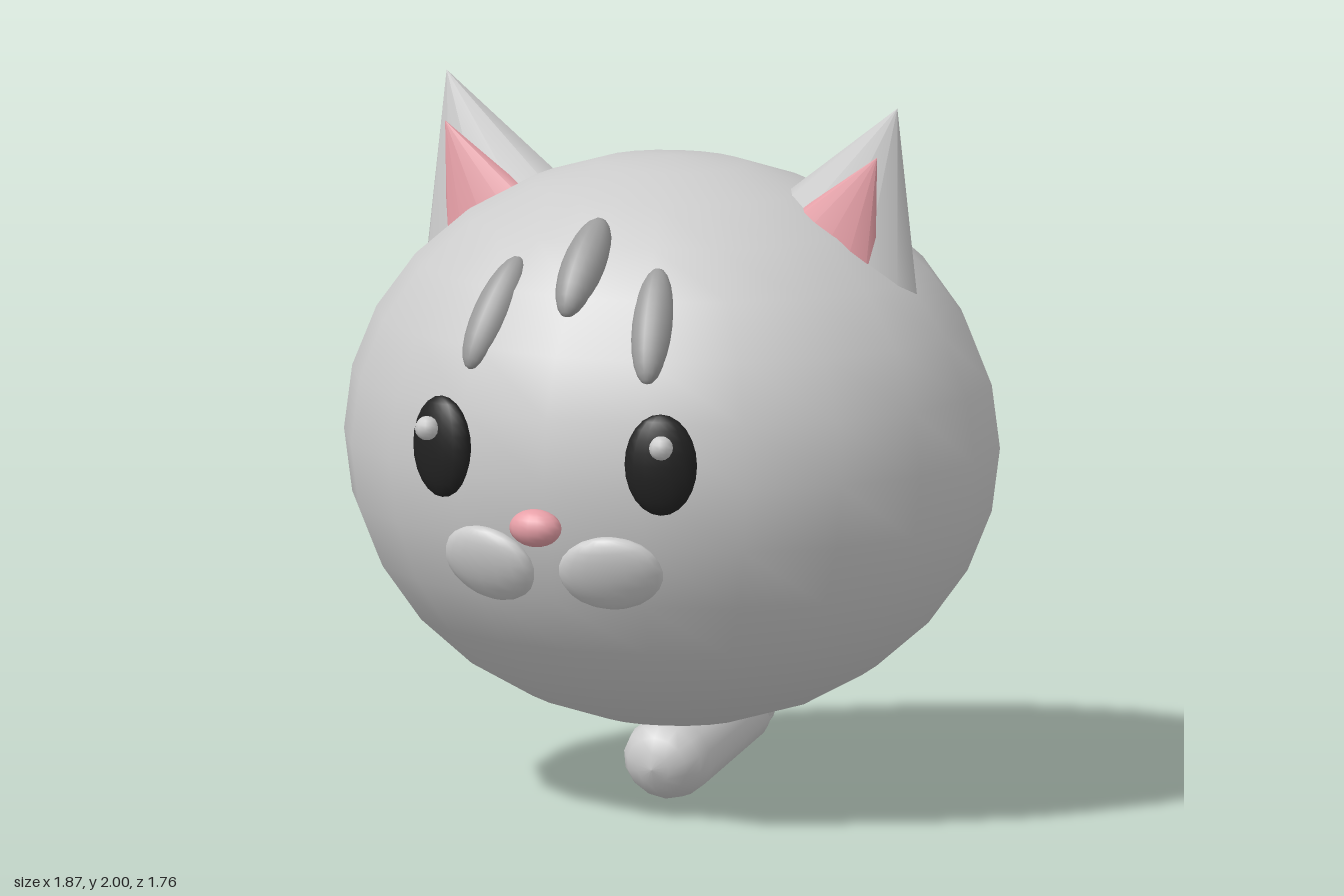
import * as THREE from 'three';

const mat = (name, color) => {
  const m = new THREE.MeshStandardMaterial({ color });
  m.name = name;
  return m;
};

export function createModel() {
  const model = new THREE.Group();
  model.name = 'roundCat';
  const fur = mat('light grey fur', 0xcccccc);
  const dark = mat('stripe grey', 0x9c9c9c);
  const pink = mat('pink', 0xe8a0a8);
  const black = mat('black', 0x222222);

  const add = (name, geo, material, pos, rot = [0, 0, 0]) => {
    const mesh = new THREE.Mesh(geo, material);
    mesh.name = name;
    mesh.position.set(...pos);
    mesh.rotation.set(...rot);
    model.add(mesh);
    return mesh;
  };
  const ellipsoid = (rx, ry, rz, w = 16, h = 12) =>
    new THREE.SphereGeometry(1, w, h).scale(rx, ry, rz);

  // Flattened cone hanging from its tip, leaning outward
  const ear = (name, material, s, tip, h, r, rz, lean) => {
    const geo = new THREE.ConeGeometry(1, 1, 12).translate(0, -0.5, 0).scale(r, h, rz);
    add(name, geo, material, [s * tip[0], tip[1], tip[2]], [0, 0, -s * lean]);
  };

  // Tapered capsule between two points in the x = 0 plane, slightly wider in x
  const tailPiece = (name, a, b, ra, rb) => {
    const from = new THREE.Vector3(0, ...a), to = new THREE.Vector3(0, ...b);
    const dir = to.clone().sub(from), len = dir.length();
    const profile = [];
    for (let i = 0; i <= 4; i++) {
      const t = (i / 4) * Math.PI / 2;
      profile.push(new THREE.Vector2(ra * Math.sin(t), -ra * Math.cos(t)));
    }
    for (let i = 0; i <= 4; i++) {
      const t = (i / 4) * Math.PI / 2;
      profile.push(new THREE.Vector2(i === 4 ? 0 : rb * Math.cos(t), len + rb * Math.sin(t)));
    }
    const mesh = add(name, new THREE.LatheGeometry(profile, 14).scale(1.1, 1, 1), fur, from.toArray());
    mesh.quaternion.setFromUnitVectors(new THREE.Vector3(0, 1, 0), dir.normalize());
  };

  // Round body and nose
  add('body', ellipsoid(0.937, 0.8, 0.817, 20, 14), fur, [0, 1.015, -0.035]);
  add('nose', ellipsoid(0.077, 0.053, 0.052), pink, [0, 0.9, 0.83]);

  // Paired features
  for (const s of [1, -1]) {
    const side = s > 0 ? 'left' : 'right';
    ear(side + 'Ear', fur, s, [0.697, 2, -0.035], 0.455, 0.258, 0.115, 0.4);
    ear(side + 'InnerEar', pink, s, [0.668, 1.87, 0.034], 0.38, 0.195, 0.066, 0.49);
    add(side + 'Eye', ellipsoid(0.102, 0.143, 0.045), black, [s * 0.338, 1.088, 0.728], [0, s * 0.3, 0]);
    add(side + 'EyeHighlight', ellipsoid(0.034, 0.034, 0.034, 10, 8), fur, [s * 0.362, 1.145, 0.776]);
    add(side + 'Muzzle', ellipsoid(0.15, 0.115, 0.05), fur, [s * 0.187, 0.772, 0.735], [0.4, s * 0.2, 0]);
    add(side + 'ForeheadStripe', ellipsoid(0.059, 0.178, 0.052), dark, [s * 0.245, 1.45, 0.59], [-0.6, 0, s * 0.17]);
  }
  add('middleForeheadStripe', ellipsoid(0.064, 0.165, 0.06), dark, [0, 1.585, 0.525], [-0.76, 0, 0]);

  // Tail curling from under the body up the back, points as [y, z]
  tailPiece('tailBase', [0.118, -0.02], [0.19, -0.42], 0.118, 0.105);
  tailPiece('tailMiddle', [0.215, -0.43], [0.5, -0.715], 0.112, 0.1);
  tailPiece('tailTip', [0.5, -0.715], [0.935, -0.813], 0.092, 0.07);

  return model;
}
